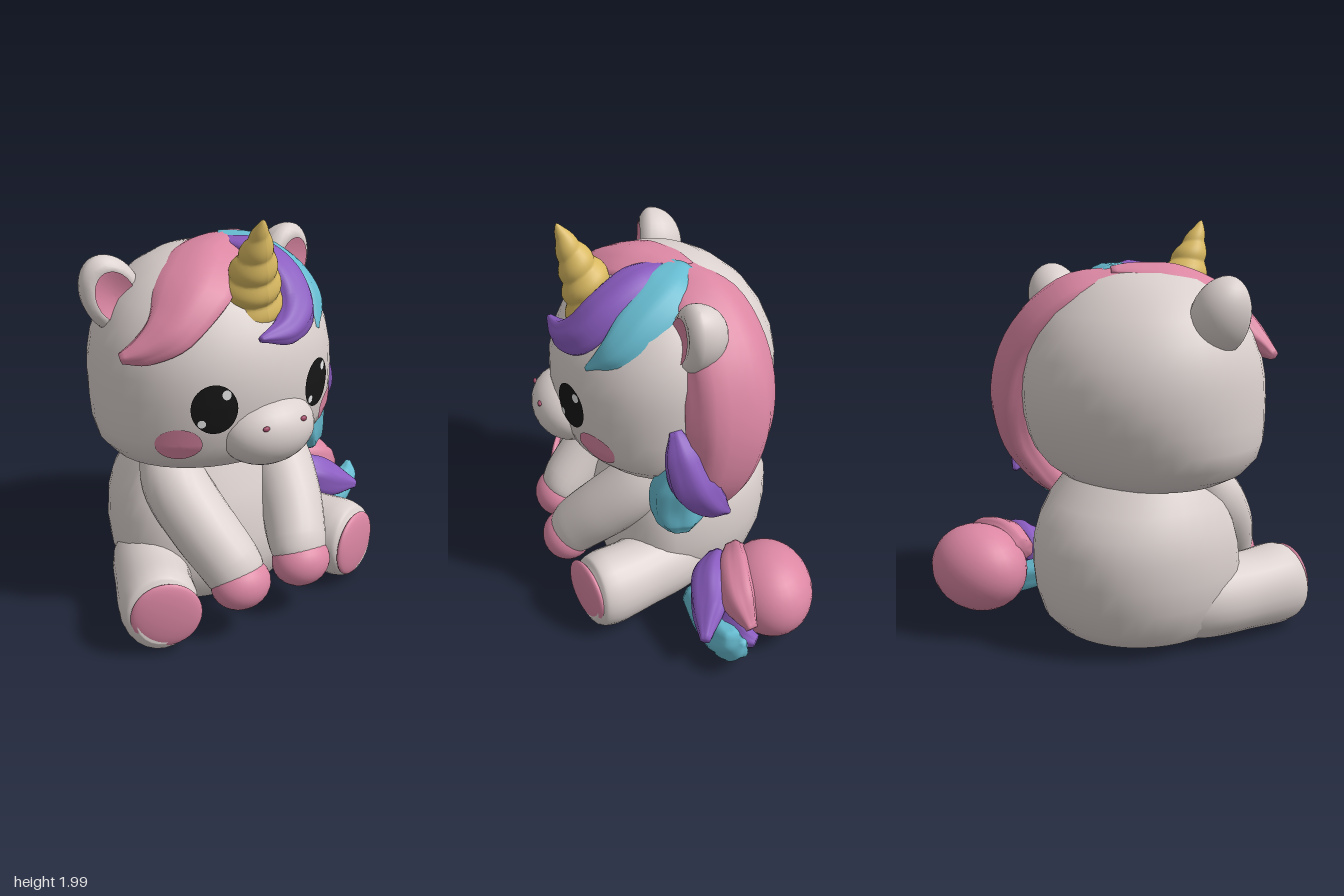
import * as THREE from 'three';

const CX = -0.18; // symmetry plane of head and body
const V = (x, y, z) => new THREE.Vector3(x, y, z);
const mat = (name, color) => Object.assign(new THREE.MeshStandardMaterial({ color }), { name });

// Head and body sections: [height, half width, front z, back z]
const HEAD = [
  [0.77, 0, 0, 0], [0.772, 0.3, 0.2, -0.28], [0.80, 0.43, 0.31, -0.38], [0.85, 0.52, 0.41, -0.44],
  [0.92, 0.58, 0.48, -0.49], [1.0, 0.6, 0.515, -0.535], [1.1, 0.602, 0.53, -0.575], [1.2, 0.6, 0.535, -0.595],
  [1.3, 0.593, 0.53, -0.592], [1.4, 0.575, 0.505, -0.57], [1.5, 0.535, 0.46, -0.525], [1.6, 0.47, 0.39, -0.455],
  [1.69, 0.375, 0.29, -0.35], [1.75, 0.27, 0.2, -0.25], [1.78, 0.15, 0.11, -0.14], [1.788, 0, 0, 0]];
const BODY = [
  [0.01, 0, 0, 0], [0.012, 0.33, 0.2, -0.36], [0.05, 0.42, 0.27, -0.46], [0.13, 0.48, 0.33, -0.54],
  [0.25, 0.515, 0.36, -0.58], [0.37, 0.525, 0.35, -0.595], [0.5, 0.515, 0.32, -0.593], [0.6, 0.49, 0.285, -0.56],
  [0.7, 0.445, 0.24, -0.5], [0.8, 0.38, 0.2, -0.4], [0.92, 0.3, 0.15, -0.3], [0.95, 0, 0, 0]];

// Skin over closed rings of points
function loft(rings) {
  const n = rings[0].length, pos = [], idx = [];
  rings.forEach(r => r.forEach(p => pos.push(p.x, p.y, p.z)));
  for (let i = 0; i < rings.length - 1; i++) {
    for (let j = 0; j < n; j++) {
      const k = (j + 1) % n, a = i * n, b = a + n;
      idx.push(a + j, a + k, b + k, a + j, b + k, b + j);
    }
  }
  const g = new THREE.BufferGeometry();
  g.setAttribute('position', new THREE.Float32BufferAttribute(pos, 3));
  g.setIndex(idx);
  g.computeVertexNormals();
  return g;
}

function blob(rows, n = 40) {
  return loft(rows.map(([y, hx, zf, zb]) => Array.from({ length: n }, (_, j) => {
    const a = j / n * Math.PI * 2, c = Math.cos(a);
    return V(CX + hx * Math.sin(a), y, c > 0 ? c * zf : -c * zb);
  })));
}

// Tapered strand; path rows are [x, y, z, half width, half thickness], thickness points away from centre.
// Rippled strands (hair) also bend across their width to hug the form beneath.
function strand(path, centre, ripple = 0, n = 24, steps = 28) {
  const line = new THREE.CatmullRomCurve3(path.map(p => V(p[0], p[1], p[2])));
  const size = new THREE.CatmullRomCurve3(path.map(p => V(p[3], p[4], 0)), false, 'catmullrom', 0.4);
  const bend = ripple ? 0.9 : 0, rings = [];
  for (let i = 0; i <= steps; i++) {
    const t = i / steps, c = line.getPoint(t), s = size.getPoint(t), T = line.getTangent(t);
    const W = T.clone().cross(c.clone().sub(centre)).normalize(), N = W.clone().cross(T);
    rings.push(Array.from({ length: n }, (_, j) => {
      const a = j / n * Math.PI * 2, k = 1 + ripple * Math.cos(6 * a + 3 * t);
      const across = Math.max(s.x, 0) * k * Math.sin(a), out = Math.max(s.y, 0) * k * Math.cos(a);
      return c.clone().addScaledVector(N, out - bend * across * across).addScaledVector(W, across);
    }));
  }
  const cap = p => rings[0].map(() => V(p[0], p[1], p[2]));
  return loft([cap(path[0]), ...rings, cap(path[path.length - 1])]);
}

// Depth of the face at a given x, y
function faceZ(x, y) {
  const i = Math.max(1, HEAD.findIndex(r => r[0] >= y)), a = HEAD[i - 1], b = HEAD[i];
  const t = (y - a[0]) / (b[0] - a[0]), L = k => a[k] + (b[k] - a[k]) * t;
  return L(2) * Math.sqrt(Math.max(0, 1 - ((x - CX) / L(1)) ** 2));
}

// Thin oval laid on the face
function patch(cx, cy, rx, ry, lift) {
  const g = new THREE.RingGeometry(0.001, 1, 32, 5), p = g.attributes.position;
  for (let i = 0; i < p.count; i++) {
    const x = cx + p.getX(i) * rx, y = cy + p.getY(i) * ry;
    p.setXYZ(i, x, y, faceZ(x, y) + lift);
  }
  g.computeVertexNormals();
  return g;
}

// Cup the front of an ear-sized unit shape
function cup(g, lift = 0) {
  const p = g.attributes.position;
  for (let i = 0; i < p.count; i++) {
    const r2 = Math.min(1, p.getX(i) ** 2 + p.getY(i) ** 2);
    if (lift || p.getZ(i) > 0) p.setZ(i, Math.sqrt(1 - r2) * 0.5 - 0.6 * Math.max(0, 0.5 - r2) + lift);
  }
  g.scale(0.14, 0.19, 0.165);
  g.computeVertexNormals();
  return g;
}

export function createModel() {
  const root = new THREE.Group();
  root.name = 'sittingUnicorn';
  const coat = mat('coat', 0xdbd1ce), pink = mat('pink', 0xdc87a3), purple = mat('purple', 0x8a5cc0);
  const cyan = mat('cyan', 0x66bbd0), gold = mat('gold', 0xd8b860), black = mat('black', 0x161616);
  const white = mat('white', 0xf0f0f0), rose = mat('darkRose', 0xa04a66);
  const add = (name, geo, m, parent = root) => {
    const mesh = new THREE.Mesh(geo, m);
    mesh.name = name;
    parent.add(mesh);
    return mesh;
  };
  const ball = (name, m, c, r) => {
    const mesh = add(name, new THREE.SphereGeometry(1, 28, 18), m);
    mesh.position.set(...c);
    mesh.scale.set(...r);
    return mesh;
  };

  add('head', blob(HEAD), coat);
  add('body', blob(BODY), coat);
  ball('muzzle', coat, [-0.17, 1.025, 0.455], [0.24, 0.17, 0.185]).rotation.x = -0.2;

  for (const s of [-1, 1]) {
    const side = s < 0 ? 'right' : 'left';
    const X = d => CX + s * d;

    // Hind leg with round sole
    add(side + 'HindLeg', strand([[X(0.2), 0.22, -0.2, 0.17, 0.18], [X(0.36), 0.215, 0.0, 0.2, 0.2],
      [X(0.47), 0.21, 0.2, 0.185, 0.195], [X(0.54), 0.212, 0.37, 0.188, 0.205],
      [X(0.562), 0.215, 0.445, 0.172, 0.188], [X(0.572), 0.218, 0.477, 0.13, 0.14]], V(X(0.4), -10, 0)), coat);
    const sole = ball(side + 'HindSole', pink, [X(0.558), 0.22, 0.475], [0.168, 0.168, 0.034]);
    sole.lookAt(X(0.558) + s * 0.36, 0.22, 0.475 + 0.93);

    // Front leg with hoof
    add(side + 'FrontLeg', strand([[X(0.29), 0.84, 0.0, 0.12, 0.11], [X(0.3), 0.68, 0.14, 0.16, 0.155],
      [X(0.26), 0.52, 0.31, 0.16, 0.155], [X(0.2), 0.37, 0.455, 0.15, 0.142],
      [X(0.182), 0.31, 0.505, 0.138, 0.12], [X(0.178), 0.28, 0.525, 0.08, 0.08]], V(CX, 0.5, -10)), coat);
    ball(side + 'Hoof', pink, [X(0.178), 0.282, 0.522], [0.15, 0.125, 0.13]);

    // Ear
    const ear = new THREE.Group();
    ear.name = side + 'Ear';
    add('earShell', cup(new THREE.SphereGeometry(1, 28, 20)), coat, ear);
    add('innerEar', cup(new THREE.RingGeometry(0.001, 0.66, 28, 5), 0.05), pink, ear);
    ear.position.set(X(0.48), 1.61, -0.07);
    ear.rotation.set(-0.05, s * 0.15, -s * 0.38);
    root.add(ear);

    // Eye, highlights, cheek and nostril
    const ex = X(0.28), ey = 1.19;
    add(side + 'Eye', patch(ex, ey, 0.095, 0.117, 0.006), black);
    add(side + 'EyeHighlightLarge', patch(ex + 0.047, ey + 0.068, 0.019, 0.023, 0.009), white);
    add(side + 'EyeHighlightSmall', patch(ex - 0.055, ey - 0.065, 0.016, 0.019, 0.009), white);
    add(side + 'Cheek', patch(X(0.41), 1.015, 0.083, 0.08, 0.006), pink);
    ball(side + 'Nostril', rose, [-0.175 + s * 0.102, 1.1, 0.606], [0.018, 0.012, 0.01]);
  }

  // Spiral horn
  const horn = new THREE.CylinderGeometry(1, 1, 0.46, 28, 50, true), hp = horn.attributes.position;
  for (let i = 0; i < hp.count; i++) {
    const x = hp.getX(i), z = hp.getZ(i), t = THREE.MathUtils.clamp(hp.getY(i) / 0.46 + 0.5, 0, 1);
    const f = t * 4.5 + Math.atan2(z, x) / (Math.PI * 2);
    const r = (0.135 * (1 - t) ** 0.8 + 0.025 * Math.sqrt(1 - t)) * (0.9 + 0.15 * Math.abs(Math.sin(f * Math.PI)));
    hp.setX(i, x * r);
    hp.setZ(i, z * r);
  }
  horn.computeVertexNormals();
  const hornMesh = add('horn', horn, gold);
  hornMesh.position.set(-0.175, 1.785, 0.37);
  hornMesh.quaternion.setFromUnitVectors(V(0, 1, 0), V(-0.04, 0.4, 0.16).normalize());

  // Mane
  const hc = V(CX, 1.2, 0);
  add('pinkForelock', strand([[-0.04, 1.775, -0.09, 0.1, 0.03], [-0.15, 1.775, 0.0, 0.16, 0.04],
    [-0.28, 1.752, 0.1, 0.185, 0.055], [-0.43, 1.665, 0.22, 0.19, 0.06], [-0.565, 1.535, 0.28, 0.13, 0.055],
    [-0.67, 1.45, 0.25, 0.075, 0.05], [-0.77, 1.41, 0.2, 0.025, 0.025]], hc, 0.07), pink);
  add('purpleForelock', strand([[-0.08, 1.775, -0.02, 0.07, 0.03], [0.0, 1.75, 0.12, 0.12, 0.06],
    [0.05, 1.665, 0.28, 0.115, 0.065], [0.035, 1.555, 0.39, 0.11, 0.065], [-0.07, 1.49, 0.47, 0.07, 0.05],
    [-0.24, 1.485, 0.51, 0.015, 0.018]], hc, 0.08), purple);
  add('cyanForelock', strand([[-0.07, 1.78, -0.11, 0.08, 0.03], [0.07, 1.745, -0.01, 0.14, 0.05],
    [0.17, 1.645, 0.14, 0.125, 0.06], [0.205, 1.53, 0.26, 0.095, 0.055], [0.15, 1.42, 0.39, 0.015, 0.018]], hc, 0.08), cyan);
  add('pinkSideMane', strand([[-0.1, 1.765, -0.08, 0.1, 0.035], [0.11, 1.675, -0.2, 0.21, 0.085],
    [0.31, 1.46, -0.27, 0.24, 0.11], [0.41, 1.2, -0.27, 0.24, 0.12], [0.43, 0.95, -0.21, 0.195, 0.11],
    [0.38, 0.75, -0.11, 0.14, 0.085], [0.31, 0.57, 0.0, 0.04, 0.035]], hc, 0.06), pink);
  add('purpleSideLock', strand([[0.42, 1.2, 0.03, 0.03, 0.02], [0.47, 1.07, 0.0, 0.09, 0.06],
    [0.515, 0.92, -0.05, 0.11, 0.065], [0.515, 0.81, -0.13, 0.08, 0.055], [0.49, 0.73, -0.22, 0.015, 0.015]], hc, 0.08), purple);
  add('cyanSideLock', strand([[0.43, 1.0, 0.0, 0.06, 0.04], [0.395, 0.86, 0.0, 0.13, 0.09],
    [0.39, 0.72, 0.0, 0.135, 0.09], [0.405, 0.64, 0.0, 0.11, 0.08], [0.42, 0.59, 0.0, 0.06, 0.045]], V(-1, 0.8, 0), 0.08), cyan);

  // Tail
  ball('tailBall', pink, [0.56, 0.24, -0.43], [0.27, 0.225, 0.22]);
  const tc = V(0.55, 0.22, -0.5);
  add('pinkTailLock', strand([[0.36, 0.34, -0.3, 0.06, 0.05], [0.52, 0.37, -0.25, 0.1, 0.07],
    [0.69, 0.33, -0.23, 0.1, 0.07], [0.82, 0.24, -0.27, 0.03, 0.03]], tc, 0.08), pink);
  add('purpleTailLock', strand([[0.38, 0.32, -0.22, 0.06, 0.06], [0.52, 0.31, -0.13, 0.11, 0.09],
    [0.66, 0.245, -0.09, 0.1, 0.08], [0.81, 0.2, -0.04, 0.025, 0.025]], tc, 0.08), purple);
  add('purpleTailUnderlock', strand([[0.5, 0.22, -0.22, 0.08, 0.06], [0.68, 0.2, -0.2, 0.09, 0.07],
    [0.8, 0.18, -0.24, 0.07, 0.05], [0.84, 0.17, -0.29, 0.03, 0.03]], tc, 0.08), purple);
  add('cyanTailLock', strand([[0.42, 0.14, -0.08, 0.08, 0.07], [0.58, 0.115, -0.13, 0.11, 0.1],
    [0.75, 0.13, -0.16, 0.115, 0.1], [0.86, 0.19, -0.18, 0.075, 0.06], [0.9, 0.25, -0.21, 0.015, 0.015]], tc, 0.08), cyan);

  return root;
}
